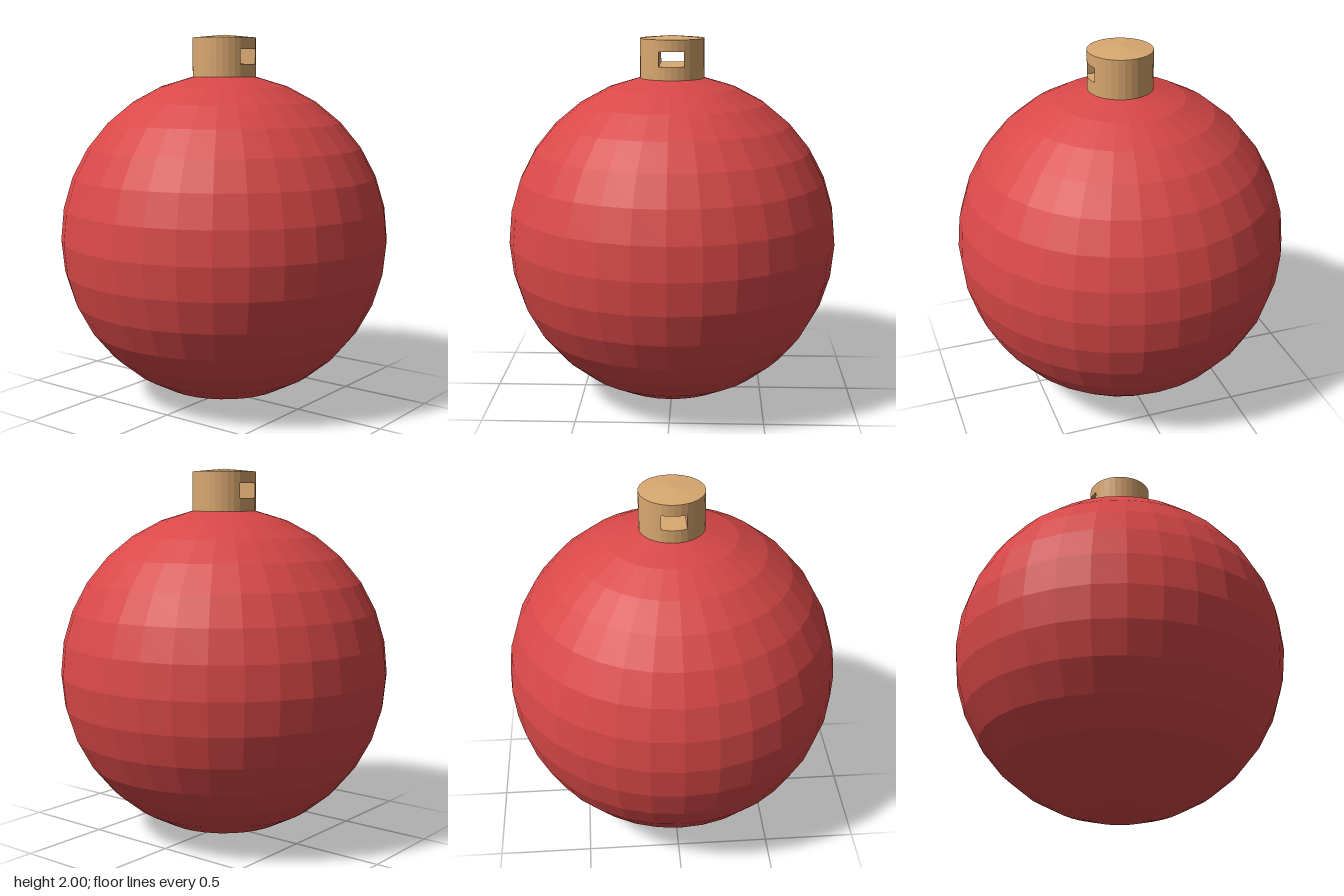
import * as THREE from 'three';

export function createModel() {
  const model = new THREE.Group();
  model.name = 'bauble';

  const red = new THREE.MeshStandardMaterial({ color: 0xd94848 });
  red.name = 'red glass';
  red.flatShading = true;
  const gold = new THREE.MeshStandardMaterial({ color: 0xd9a870 });
  gold.name = 'dull gold';
  gold.flatShading = true;

  const add = (parent, name, geometry, material, x, y, z = 0) => {
    const mesh = new THREE.Mesh(geometry, material);
    mesh.name = name;
    mesh.position.set(x, y, z);
    parent.add(mesh);
    return mesh;
  };

  // Faceted ball
  const R = 0.895;
  add(model, 'ball', new THREE.SphereGeometry(R, 32, 16), red, 0, R + 0.002);

  // Cap with a square slot running through it from front to back
  const cap = new THREE.Group();
  cap.name = 'cap';
  model.add(cap);
  const r = 0.172, sides = 32;
  const base = 1.775, slotLow = 1.845, slotHigh = 1.923, rim = 1.985, top = 2;
  const band = (name, y0, y1) =>
    add(cap, name, new THREE.CylinderGeometry(r, r, y1 - y0, sides), gold, 0, (y0 + y1) / 2);
  band('capBase', base, slotLow);
  band('capTop', slotHigh, rim);
  add(cap, 'capCrown', new THREE.ConeGeometry(r, top - rim, sides, 1, true), gold, 0, (rim + top) / 2);

  // Cheeks on both sides of the slot: curved outside, flat inside
  const start = Math.PI / 8, h = slotHigh - slotLow, mid = (slotHigh + slotLow) / 2;
  for (const [side, name] of [[1, 'left'], [-1, 'right']]) {
    const theta = side > 0 ? start : Math.PI + start;
    add(cap, name + 'Cheek',
      new THREE.CylinderGeometry(r, r, h, 12, 1, true, theta, Math.PI - 2 * start), gold, 0, mid);
    const wall = add(cap, name + 'SlotWall',
      new THREE.PlaneGeometry(2 * r * Math.cos(start), h), gold, side * r * Math.sin(start), mid);
    wall.rotation.y = -side * Math.PI / 2;
  }

  return model;
}
